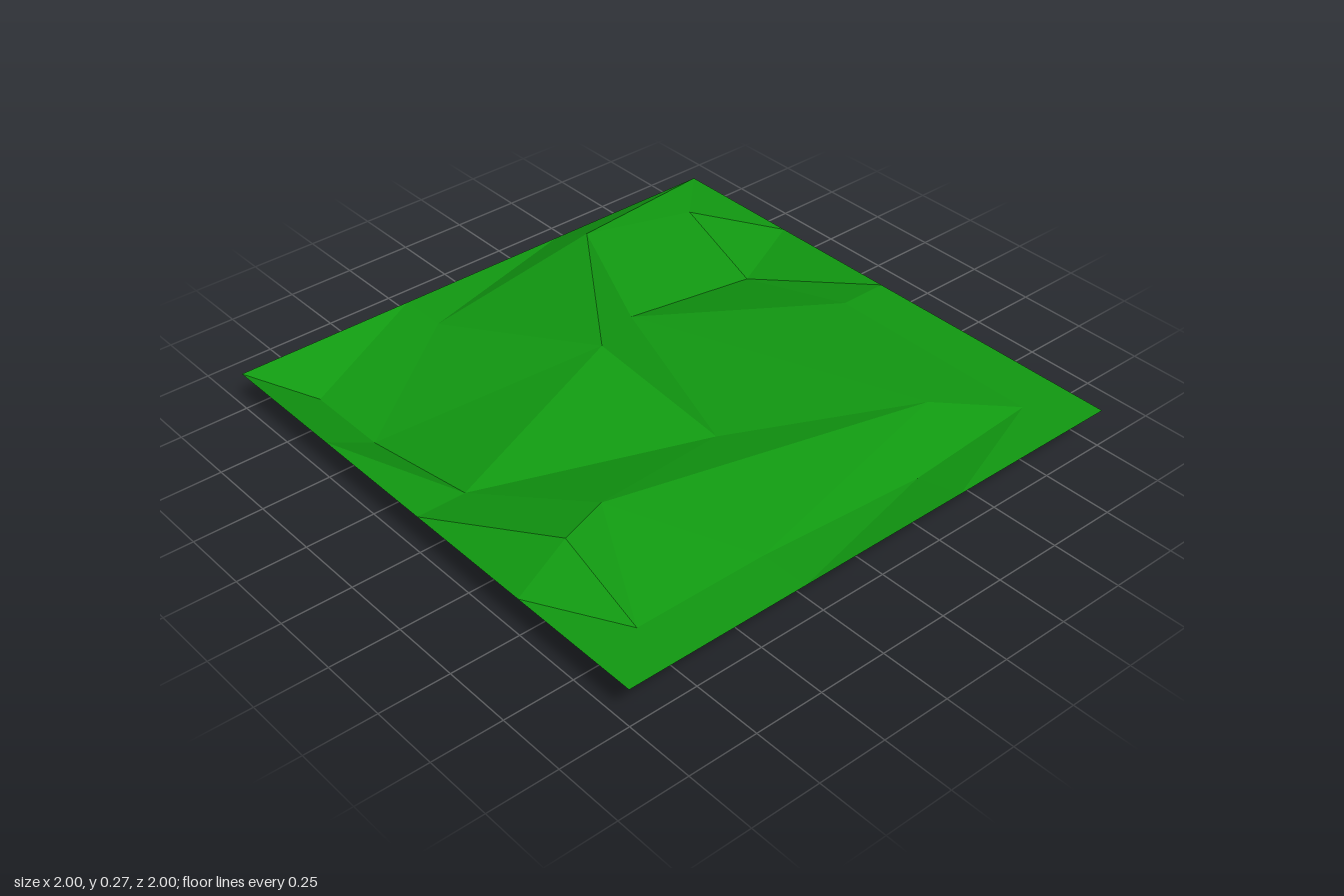
import * as THREE from 'three';

const REST = 0.14; // height of the flat border

// Clockwise ring (seen from above) of a 4 x 5 grid border, with half-size s
function ring(s, heights) {
  const xs = [-s, -0.33, 0.33, s];
  const zs = [-0.5, 0, 0.5];
  const back = xs.map((x) => [x, -s]);
  const right = zs.map((z) => [s, z]);
  const front = [...xs].reverse().map((x) => [x, s]);
  const left = [...zs].reverse().map((z) => [-s, z]);
  return [...back, ...right, ...front, ...left]
    .map(([x, z], i) => new THREE.Vector3(x, heights ? heights[i] : REST, z));
}

function groundGeometry() {
  const outer = ring(1);
  const inner = ring(0.82,
    [0.05, REST, 0.24, REST, 0, REST, REST, REST, 0.095, REST, REST, 0.27, REST, 0.05]);

  // Free points in the middle of the tile
  const ridge = new THREE.Vector3(-0.1, 0.26, -0.21);
  const gully = new THREE.Vector3(0.2, 0.14, -0.42);
  const dip = new THREE.Vector3(-0.06, 0.162, 0.31);
  const knoll = new THREE.Vector3(-0.62, 0.25, 0.42);
  const rise = new THREE.Vector3(0.57, 0.175, 0.63);

  const points = [];
  // Corners come clockwise from above; reversed so the face looks up
  const face = (a, b, c) => points.push(a, c, b);
  const fan = (centre, rim) => {
    for (let i = 0; i + 1 < rim.length; i++) face(centre, rim[i], rim[i + 1]);
  };
  const at = (...ids) => ids.map((i) => inner[i]);

  // Band between the flat border and the uneven inner ring
  const n = outer.length;
  for (let i = 0; i < n; i++) {
    const j = (i + 1) % n;
    face(outer[i], outer[j], inner[i]);
    face(inner[i], outer[j], inner[j]);
  }

  // Middle slopes
  fan(inner[0], at(1, 13));
  fan(ridge, [...at(12, 13, 1, 2), gully, dip, inner[12]]);
  fan(gully, [...at(2, 3, 4, 5), rise, dip]);
  fan(knoll, [rise, ...at(9, 10, 11, 12), dip, rise]);
  fan(rise, at(5, 6, 7, 8, 9));

  const geometry = new THREE.BufferGeometry().setFromPoints(points);
  geometry.computeVertexNormals();
  return geometry;
}

export function createModel() {
  const grass = new THREE.MeshStandardMaterial({
    color: 0x119911, flatShading: true, side: THREE.DoubleSide,
  });
  grass.name = 'grass green';

  const ground = new THREE.Mesh(groundGeometry(), grass);
  ground.name = 'grassGround';

  const model = new THREE.Group();
  model.name = 'terrainTile';
  model.add(ground);
  return model;
}
